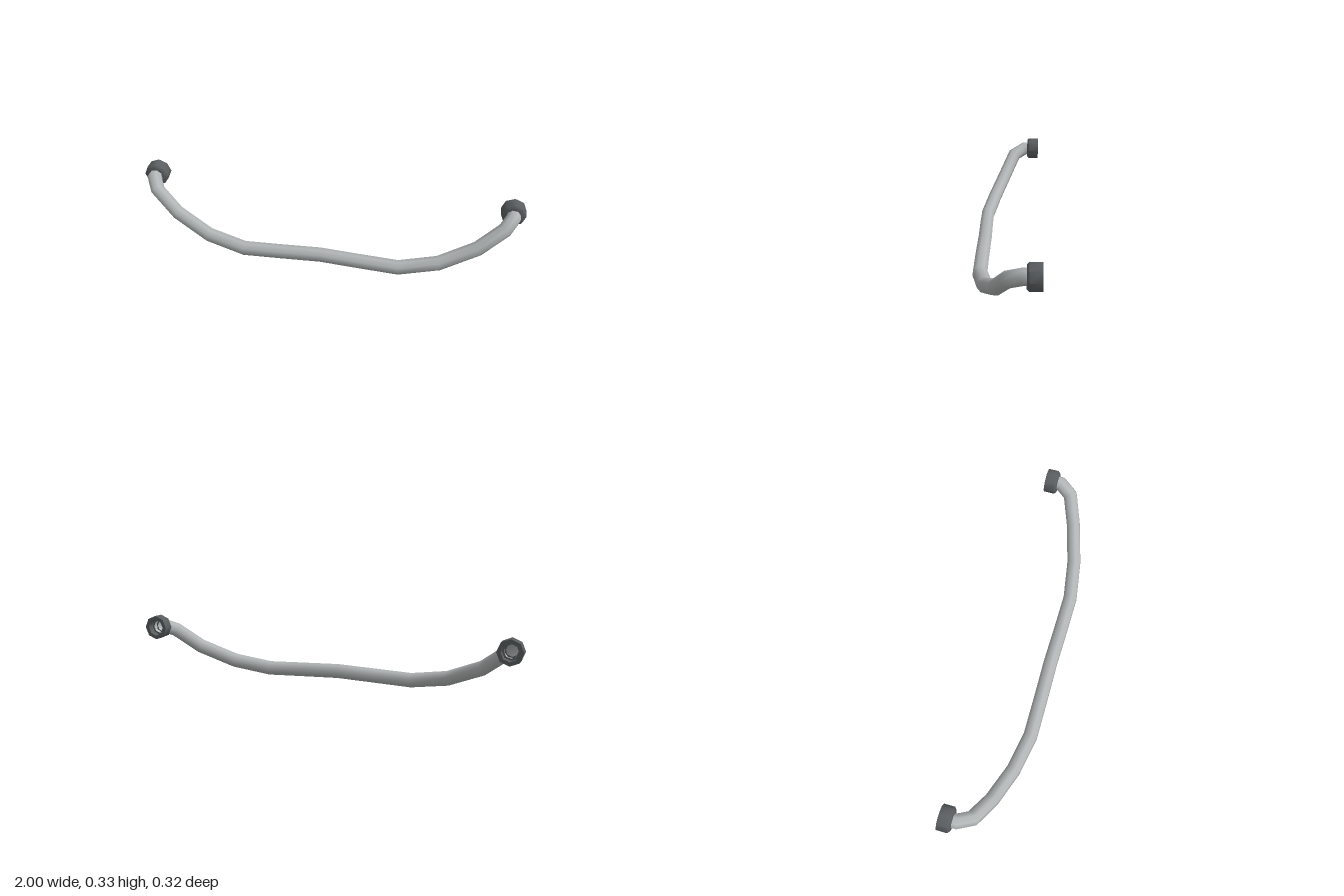
import * as THREE from 'three';
import { toCreasedNormals } from 'three/addons/utils/BufferGeometryUtils.js';

const SIDES = 8;
const RADIUS = 0.037;

// Bent pipe: each ring slides along its segment until it meets the next mitre plane.
function mitredPipe(points) {
  const dirs = points.slice(1).map((p, i) => p.clone().sub(points[i]).normalize());
  let ring = [];
  for (let j = 0; j < SIDES; j++) {
    const a = (j / SIDES) * Math.PI * 2 + 0.26;
    ring.push(new THREE.Vector3(Math.cos(a), Math.sin(a), 0).multiplyScalar(RADIUS).add(points[0]));
  }
  const verts = [];
  const index = [];
  points.forEach((p, i) => {
    if (i > 0) {
      const dir = dirs[i - 1];
      const normal = dir.clone().add(dirs[i] || dir).normalize();
      ring = ring.map((v) => {
        const t = p.clone().sub(v).dot(normal) / dir.dot(normal);
        return v.clone().addScaledVector(dir, t);
      });
    }
    ring.forEach((v) => verts.push(v.x, v.y, v.z));
    if (i === points.length - 1) return;
    for (let j = 0; j < SIDES; j++) {
      const a = i * SIDES + j;
      const b = i * SIDES + ((j + 1) % SIDES);
      index.push(a, b, a + SIDES, b, b + SIDES, a + SIDES);
    }
  });
  const geo = new THREE.BufferGeometry();
  geo.setAttribute('position', new THREE.Float32BufferAttribute(verts, 3));
  geo.setIndex(index);
  geo.computeVertexNormals();
  return geo;
}

export function createModel() {
  const metal = new THREE.MeshStandardMaterial({ color: 0xb2b6b6, side: THREE.DoubleSide });
  metal.name = 'light grey metal';
  const dark = new THREE.MeshStandardMaterial({ color: 0x5a5e60, side: THREE.DoubleSide });
  dark.name = 'dark grey fitting';

  const group = new THREE.Group();
  group.name = 'curvedPipe';

  // Half of the centre line, from the left fitting to the middle
  const half = [
    [0.937, 0.275, -0.125],
    [0.937, 0.275, -0.082],
    [0.9, 0.245, -0.018],
    [0.78, 0.152, 0.036],
    [0.597, 0.074, 0.091],
    [0.4, 0.04, 0.123],
    [0.2, 0.048, 0.122],
  ].map((p) => new THREE.Vector3(...p));
  const mirrored = half.map((p) => new THREE.Vector3(-p.x, p.y, p.z)).reverse();
  const path = [...half, new THREE.Vector3(0, 0.056, 0.119), ...mirrored];

  const pipe = new THREE.Mesh(mitredPipe(path), metal);
  pipe.name = 'pipe';
  group.add(pipe);

  // Chamfered end fittings, hollow towards the back
  const profile = [
    [0.03, 0.097], [0.052, 0.097], [0.063, 0.107], [0.063, 0.162],
    [0.043, 0.162], [0.043, 0.125], [0.034, 0.125],
  ].map(([r, y]) => new THREE.Vector2(r, y));
  const lathe = new THREE.LatheGeometry(profile, SIDES);
  lathe.rotateX(-Math.PI / 2);
  const collar = toCreasedNormals(lathe, 0.8);
  for (const side of [1, -1]) {
    const fitting = new THREE.Mesh(collar, dark);
    fitting.name = side > 0 ? 'leftFitting' : 'rightFitting';
    fitting.position.set(side * 0.937, 0.275, 0);
    group.add(fitting);
  }
  return group;
}
